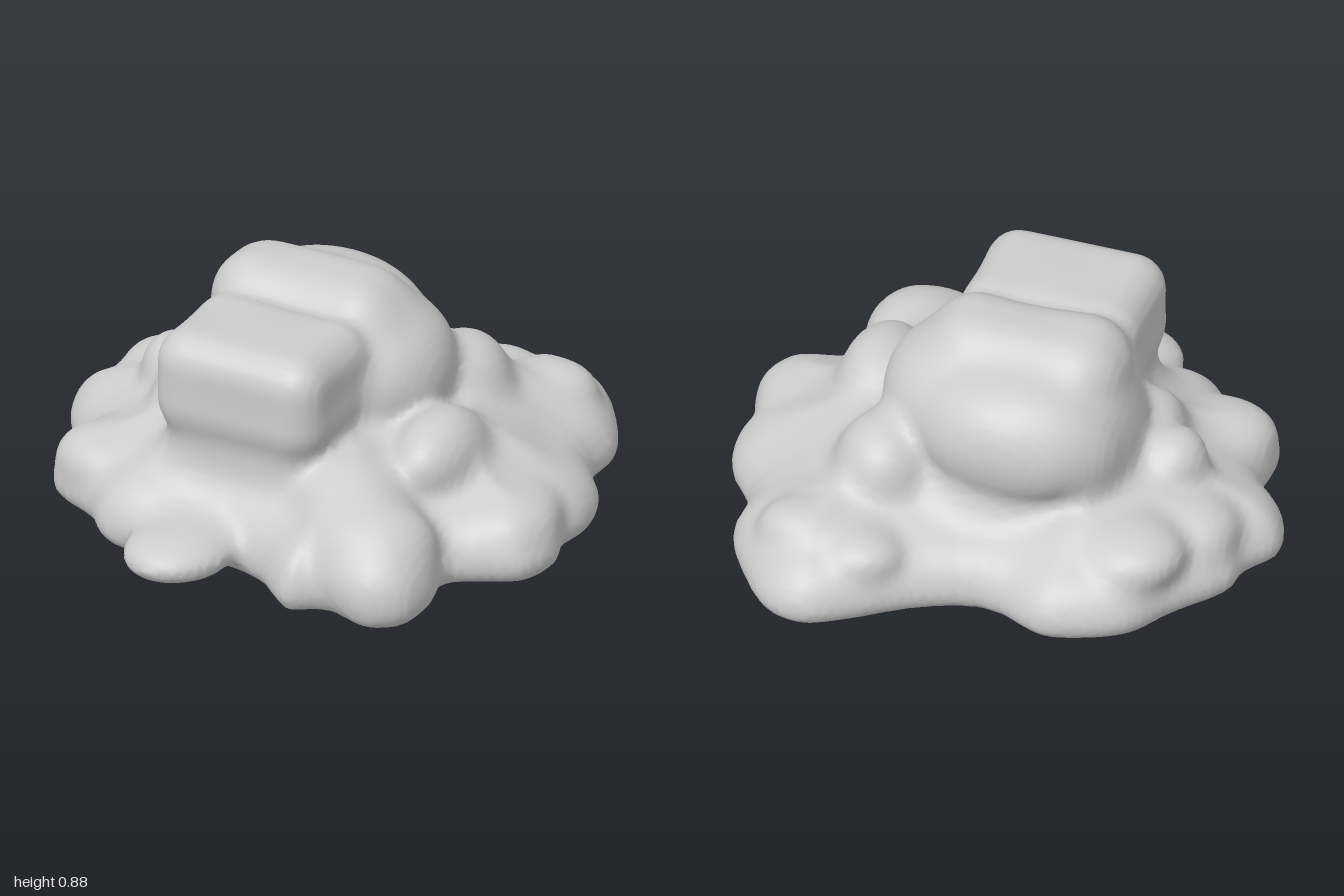
import * as THREE from 'three';

// Ground outline of the skirt, as x, z pairs, smoothed into a closed curve
const CORNERS = [
  -1, -0.05, -0.92, -0.18, -0.9, -0.3, -0.75, -0.5, -0.65, -0.65, -0.5, -0.73, -0.35, -0.76, -0.12, -0.67,
  0.1, -0.75, 0.3, -0.9, 0.45, -0.97, 0.6, -0.93, 0.75, -0.75, 0.83, -0.6, 0.83, -0.42, 0.95, -0.25,
  0.98, -0.1, 0.96, 0.02, 1, 0.15, 0.95, 0.3, 0.83, 0.37, 0.72, 0.43, 0.75, 0.6, 0.73, 0.75, 0.6, 0.83,
  0.42, 0.78, 0.3, 0.84, 0.2, 0.78, 0.12, 0.71, -0.05, 0.66, -0.35, 0.73, -0.5, 0.7, -0.6, 0.6,
  -0.8, 0.5, -0.83, 0.4, -0.83, 0.25, -0.95, 0.1,
];
const points = [];
for (let i = 0; i < CORNERS.length; i += 2) points.push(new THREE.Vector3(CORNERS[i], 0, CORNERS[i + 1]));
const OUTLINE = new THREE.CatmullRomCurve3(points, true).getPoints(110);

// Rounded blocks: centre, half size, edge radius
const BLOCKS = [
  [-0.07, 0.62, 0.33, 0.325, 0.19, 0.245, 0.12],  // front block
  [-0.07, 0.36, 0.28, 0.3, 0.3, 0.265, 0.12],     // pillar below it
  [-0.08, 0.63, -0.06, 0.36, 0.25, 0.2, 0.17],    // summit
];

// Ellipsoid lobes: centre, radii
const LOBES = [
  // shoulders of the summit
  [-0.1, 0.55, -0.27, 0.36, 0.25, 0.24],
  [0.2, 0.53, -0.08, 0.23, 0.25, 0.28],
  [-0.36, 0.45, -0.1, 0.14, 0.25, 0.28],
  [0.34, 0.38, -0.36, 0.17, 0.18, 0.19],
  [0, 0.27, -0.05, 0.46, 0.28, 0.45],
  // left-hand and back slopes
  [0.52, 0.37, 0.13, 0.14, 0.15, 0.22],
  [0.55, 0.27, -0.68, 0.13, 0.08, 0.1],
  [0.3, 0.25, -0.72, 0.12, 0.07, 0.1],
  [0.83, 0.2, 0.12, 0.12, 0.08, 0.15],
  // front left spill
  [0.34, 0.28, 0.42, 0.2, 0.15, 0.2],
  [0.49, 0.23, 0.56, 0.22, 0.14, 0.19],
  [0.54, 0.15, 0.64, 0.18, 0.12, 0.17],
  // right-hand slopes
  [-0.6, 0.37, -0.02, 0.11, 0.11, 0.12],
  [-0.47, 0.36, 0.15, 0.1, 0.13, 0.13],
  [-0.76, 0.24, -0.2, 0.12, 0.09, 0.13],
  [-0.6, 0.27, -0.44, 0.17, 0.1, 0.16],
  [-0.65, 0.2, 0.4, 0.15, 0.09, 0.14],
  // small front toe
  [-0.17, 0.11, 0.74, 0.185, 0.09, 0.22],
];

const smin = (a, b, k) => {
  const h = Math.max(k - Math.abs(a - b), 0) / k;
  return Math.min(a, b) - h * h * k / 4;
};
const smax = (a, b, k) => -smin(-a, -b, k);

// Signed distance to the outline, negative inside
function outlineDistance(x, z) {
  let d = Infinity, inside = false;
  for (let i = 1; i < OUTLINE.length; i++) {
    const a = OUTLINE[i - 1], b = OUTLINE[i], ex = b.x - a.x, ez = b.z - a.z;
    const t = THREE.MathUtils.clamp(((x - a.x) * ex + (z - a.z) * ez) / (ex * ex + ez * ez), 0, 1);
    d = Math.min(d, Math.hypot(x - a.x - ex * t, z - a.z - ez * t));
    if ((a.z > z) !== (b.z > z) && x < a.x + ex * (z - a.z) / ez) inside = !inside;
  }
  return inside ? -d : d;
}

function blockDistance(x, y, z, [cx, cy, cz, hx, hy, hz, r]) {
  const a = Math.abs(x - cx) - hx + r, b = Math.abs(y - cy) - hy + r, c = Math.abs(z - cz) - hz + r;
  return Math.hypot(Math.max(a, 0), Math.max(b, 0), Math.max(c, 0)) + Math.min(Math.max(a, b, c), 0) - r;
}

function lobeDistance(x, y, z, [cx, cy, cz, rx, ry, rz]) {
  const a = (x - cx) / rx, b = (y - cy) / ry, c = (z - cz) / rz;
  const k0 = Math.hypot(a, b, c), k1 = Math.hypot(a / rx, b / ry, c / rz);
  return k1 < 1e-6 ? -Math.min(rx, ry, rz) : k0 * (k0 - 1) / k1;
}

// Whole solid: sloping skirt, blocks and lobes melted together, with a gently bulging underside
function solid(x, y, z, edge) {
  const roof = 0.2 + 0.53 * THREE.MathUtils.clamp(-edge, 0, 0.42);
  let d = smax(edge, (y - roof) * 0.88, 0.12);
  let body = Infinity;
  for (const b of BLOCKS) body = smin(body, blockDistance(x, y, z, b), 0.05);
  d = smin(d, body, 0.1);
  for (const l of LOBES) d = smin(d, lobeDistance(x, y, z, l), 0.07);
  d += 0.006 * Math.sin(11 * x + 2) * Math.sin(9 * y + 5 * z) * Math.sin(10 * z + 1);
  return smax(d, 0.015 - 0.022 * z + 0.02 * x * x - y, 0.1);
}

// Skin the solid with a smooth net of quads, one vertex per crossed cell
function skin(step) {
  const min = [-1.08, -0.08, -1.08], size = [2.16, 1.08, 2.16].map((s) => Math.ceil(s / step) + 1);
  const stride = [1, size[0], size[0] * size[1]];
  const field = new Float32Array(size[0] * size[1] * size[2]);
  const at = (i, j, k) => i + j * stride[1] + k * stride[2];
  for (let k = 0; k < size[2]; k++) for (let i = 0; i < size[0]; i++) {
    const x = min[0] + i * step, z = min[2] + k * step, edge = outlineDistance(x, z);
    for (let j = 0; j < size[1]; j++) field[at(i, j, k)] = solid(x, min[1] + j * step, z, edge);
  }

  const positions = [], indices = [], cellVertex = new Int32Array(field.length).fill(-1);
  for (let k = 0; k < size[2] - 1; k++) for (let j = 0; j < size[1] - 1; j++) for (let i = 0; i < size[0] - 1; i++) {
    const sum = [0, 0, 0];
    let count = 0;
    for (let axis = 0; axis < 3; axis++) for (let m = 0; m < 4; m++) {
      const o = [0, 0, 0];
      o[(axis + 1) % 3] = m & 1;
      o[(axis + 2) % 3] = m >> 1;
      const c = at(i + o[0], j + o[1], k + o[2]);
      const a = field[c], b = field[c + stride[axis]];
      if ((a < 0) === (b < 0)) continue;
      o[axis] = a / (a - b);
      for (let n = 0; n < 3; n++) sum[n] += o[n];
      count++;
    }
    if (!count) continue;
    cellVertex[at(i, j, k)] = positions.length / 3;
    [i, j, k].forEach((c, n) => positions.push(min[n] + (c + sum[n] / count) * step));
  }

  for (let k = 1; k < size[2] - 1; k++) for (let j = 1; j < size[1] - 1; j++) for (let i = 1; i < size[0] - 1; i++) {
    const c = at(i, j, k);
    for (let axis = 0; axis < 3; axis++) {
      const inside = field[c] < 0;
      if (inside === (field[c + stride[axis]] < 0)) continue;
      const u = stride[(axis + 1) % 3], v = stride[(axis + 2) % 3];
      const q = [c - u - v, c - v, c, c - u].map((n) => cellVertex[n]);
      if (!inside) q.reverse();
      indices.push(q[0], q[1], q[2], q[0], q[2], q[3]);
    }
  }

  const geometry = new THREE.BufferGeometry();
  geometry.setAttribute('position', new THREE.Float32BufferAttribute(positions, 3));
  geometry.setIndex(indices);
  // Centre on the ground
  geometry.computeBoundingBox();
  const { min: lo, max: hi } = geometry.boundingBox;
  geometry.translate(-(lo.x + hi.x) / 2, -lo.y, -(lo.z + hi.z) / 2);
  geometry.computeVertexNormals();
  return geometry;
}

export function createModel() {
  const group = new THREE.Group();
  group.name = 'rockMound';
  const stone = new THREE.MeshStandardMaterial({ color: 0xcccccc });
  stone.name = 'pale grey stone';
  const rock = new THREE.Mesh(skin(0.021), stone);
  rock.name = 'rock';
  group.add(rock);
  return group;
}
